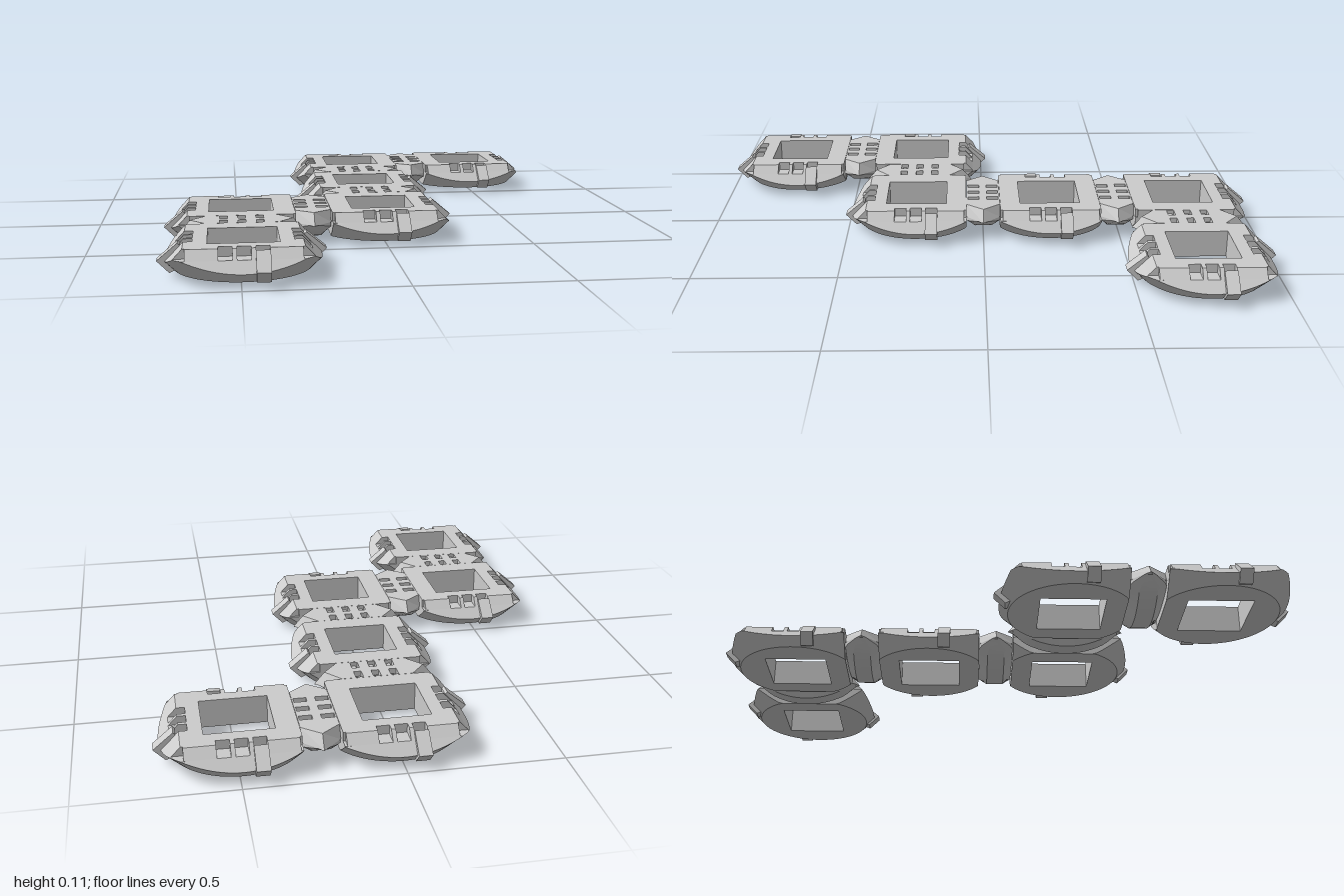
import * as THREE from 'three';
import { toCreasedNormals } from 'three/addons/utils/BufferGeometryUtils.js';

const material = new THREE.MeshStandardMaterial({ color: 0xcccccc });
const PITCH = 0.49, TOP = 0.11, BASE = 0.015, STEP = 0.08, HINGE_EDGE = 0.183;

// Skin closed rings of [x, y, z] points; optionally cap the ends or join last ring to first.
function loft(rings, { caps = false, closed = false } = {}) {
  const n = rings[0].length, index = [];
  const count = closed ? rings.length : rings.length - 1;
  for (let i = 0; i < count; i++) {
    const i2 = (i + 1) % rings.length;
    for (let j = 0; j < n; j++) {
      const k = (j + 1) % n;
      const a = i * n + j, b = i * n + k, c = i2 * n + k, d = i2 * n + j;
      index.push(a, b, c, a, c, d);
    }
  }
  if (caps) {
    const last = (rings.length - 1) * n;
    for (let j = 1; j < n - 1; j++) index.push(0, j + 1, j, last, last + j, last + j + 1);
  }
  const geo = new THREE.BufferGeometry();
  geo.setAttribute('position', new THREE.Float32BufferAttribute(rings.flat(2), 3));
  geo.setIndex(index);
  return toCreasedNormals(geo, 0.45);
}

function add(parent, name, geo) {
  const mesh = new THREE.Mesh(geo, material);
  mesh.name = name;
  parent.add(mesh);
  return mesh;
}

// Prism of a (z, y) profile running along x from x0 to x1.
const bar = (profile, x0, x1) =>
  loft([x0, x1].map(x => profile.map(([z, y]) => [x, y, z])), { caps: true });

// Mitred square frame cut by a 45 degree cone below, with straight sides where hinged.
function frameGeometry(hinged) {
  const N = 96, rings = [[], [], [], [], [], [], []];
  for (let j = 0; j < N; j++) {
    const t = (j / N) * Math.PI * 2, s = Math.sin(t), c = Math.cos(t);
    const m = Math.max(Math.abs(s), Math.abs(c));
    let cap = Infinity;
    hinged.forEach(k => {
      const d = Math.cos(t - k * Math.PI / 2);
      if (d > 0.01) cap = Math.min(cap, HINGE_EDGE / d);
    });
    const crest = Math.min((0.29 - 0.2 * m) / (1 + m), STEP - 0.001);
    const crestR = Math.min(0.2 + crest, cap);
    const crestY = Math.max(BASE + 0.001, Math.min(crest, crestR - 0.2));
    const stepR = Math.min((0.29 - STEP) / m, 0.2 + STEP, cap);
    [
      [0.11 / m, BASE], [Math.min(0.215, cap), BASE], [crestR, crestY], [stepR, STEP],
      [0.155 / m, STEP], [0.155 / m, TOP], [0.11 / m, TOP],
    ].forEach(([r, y], i) => rings[i].push([r * s, y, r * c]));
  }
  return loft(rings, { closed: true });
}

function createCell(hinged) {
  const cell = new THREE.Group();
  cell.name = 'cell';
  add(cell, 'frame', frameGeometry(hinged));
  for (let k = 0; k < 4; k++) {
    const side = new THREE.Group();
    side.name = 'cellSide';
    side.rotation.y = k * Math.PI / 2;
    cell.add(side);
    if (hinged.includes(k)) {
      // Plain rim against the hinge
      const rim = [[HINGE_EDGE, TOP], [HINGE_EDGE, STEP], [0.15, STEP], [0.15, TOP]];
      add(side, 'hingeRim', bar(rim, -0.175, 0.175));
      continue;
    }
    // Bevelled rim broken by three slots
    const rim = [[0.182, TOP], [0.21, STEP], [0.15, STEP], [0.15, TOP]];
    [[-0.175, -0.077], [-0.035, -0.021], [0.021, 0.035], [0.077, 0.175]]
      .forEach(([a, b]) => add(side, 'slottedRim', bar(rim, a, b)));
    // Locking tooth in front of the third slot
    const tooth = [[0.199, 0.107], [0.263, 0.053], [0.225, BASE], [0.19, 0.03], [0.192, 0.1]];
    add(side, 'lockingTooth', bar(tooth, 0.034, 0.078));
  }
  return cell;
}

function createHinge() {
  const hinge = new THREE.Group();
  hinge.name = 'hinge';
  const W = 0.061, END = 0.204, MID = 0.07;

  // Hexagonal top plate with two rows of slots and sloping ends
  const hex = new THREE.Shape([[-0.17, 0], [-0.12, -W], [0.12, -W], [0.17, 0], [0.12, W], [-0.12, W]]
    .map(p => new THREE.Vector2(...p)));
  for (const u of [-0.06, 0, 0.06]) for (const v of [-0.035, 0.035]) {
    const hole = [[-0.013, -0.021], [-0.013, 0.021], [0.013, 0.021], [0.013, -0.021]];
    hex.holes.push(new THREE.Path(hole.map(([a, b]) => new THREE.Vector2(u + a, v + b))));
    // Clip tongue standing in the slot
    const tongue = add(hinge, 'clipTongue', new THREE.BoxGeometry(0.014, 0.03, 0.026));
    tongue.position.set(u, 0.083, v * 1.15);
  }
  const plate = new THREE.ExtrudeGeometry(hex, { depth: TOP - MID, bevelEnabled: false });
  plate.rotateX(-Math.PI / 2).translate(0, MID, 0);
  const p = plate.attributes.position;
  for (let i = 0; i < p.count; i++) {
    if (p.getY(i) < 0.09 && Math.abs(p.getX(i)) > 0.1) p.setX(i, p.getX(i) * 1.2);
  }
  plate.computeVertexNormals();
  add(hinge, 'hingePlate', plate);

  // Curved keel underneath
  const rings = [];
  for (let i = 0; i <= 24; i++) {
    const u = -END + (2 * END * i) / 24;
    const w = Math.max(0.0005, Math.min(W, W * (END - Math.abs(u)) / 0.06));
    const low = Math.min(0.29 - Math.sqrt(0.29 ** 2 - u * u), MID - 0.002);
    const mid = low + (MID - low) * 0.55;
    rings.push([[w, MID], [w, mid], [w * 0.5, low], [-w * 0.5, low], [-w, mid], [-w, MID]]
      .map(([z, y]) => [u, y, z]));
  }
  // Close the keel with a floor under the slots
  add(hinge, 'hingeKeel', loft(rings, { caps: true }));
  return hinge;
}

export function createModel() {
  const model = new THREE.Group();
  model.name = 'foldingFrameNet';
  // Column, row and hinged sides (0 = +z, 1 = +x, 2 = -z, 3 = -x)
  const cells = [
    [1, -1.5, [3]], [0, -1.5, [0, 1]], [0, -0.5, [0, 2]],
    [0, 0.5, [2, 3]], [-1, 0.5, [0, 1]], [-1, 1.5, [2]],
  ];
  for (const [cx, cz, hinged] of cells) {
    const cell = createCell(hinged);
    cell.position.set(cx * PITCH, 0, cz * PITCH);
    model.add(cell);
    // Each hinge is placed once, from its +z or +x side
    for (const k of hinged.filter(side => side < 2)) {
      const hinge = createHinge();
      hinge.position.set((cx + (k === 1 ? 0.5 : 0)) * PITCH, 0, (cz + (k === 0 ? 0.5 : 0)) * PITCH);
      hinge.rotation.y = k * Math.PI / 2;
      model.add(hinge);
    }
  }
  return model;
}
